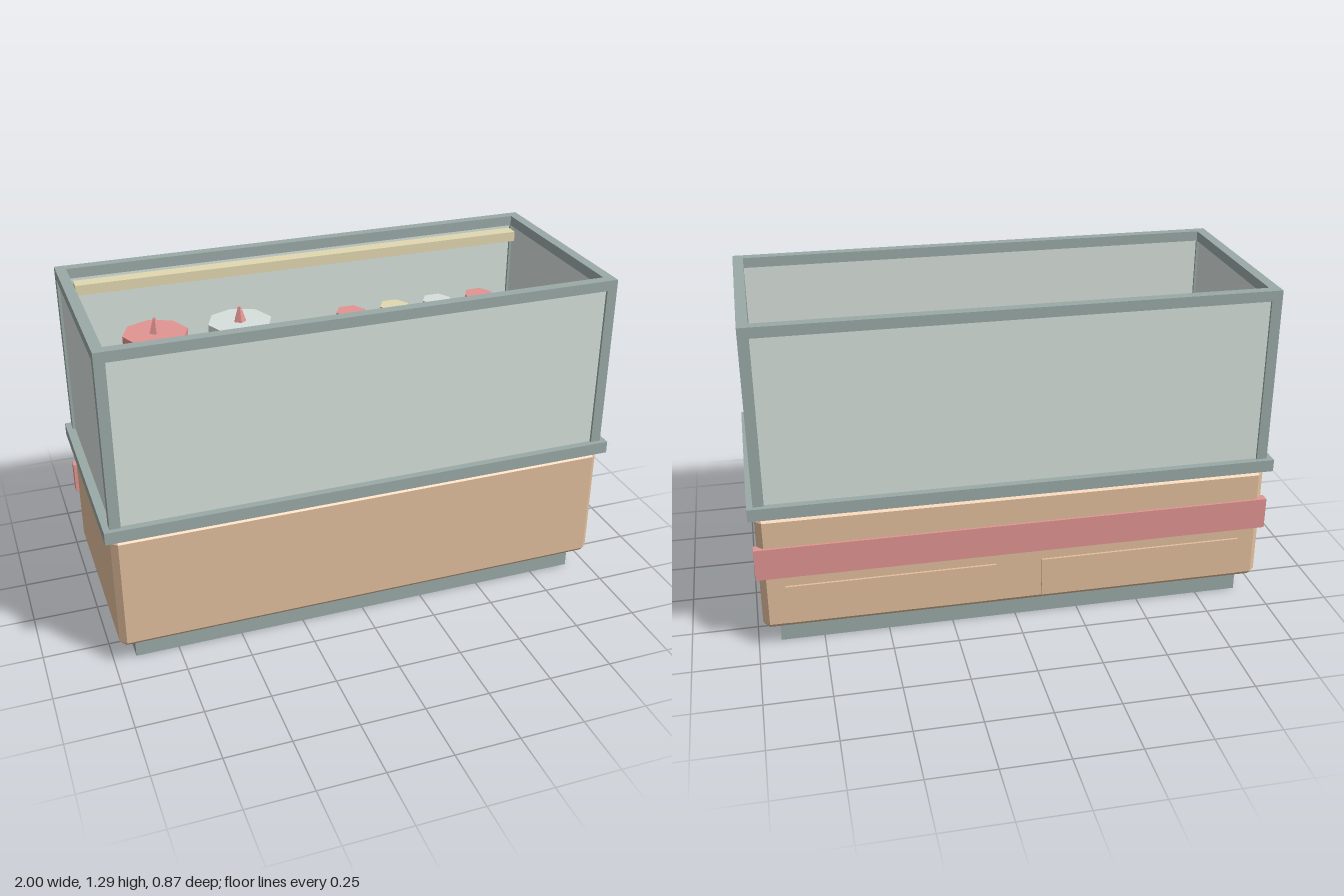
import * as THREE from 'three';
import { ConvexGeometry } from 'three/addons/geometries/ConvexGeometry.js';

const mat = (name, color) => {
  const m = new THREE.MeshStandardMaterial({ color, flatShading: true });
  m.name = name;
  return m;
};

export function createModel() {
  const metal = mat('grey metal', 0x9aaaa7);
  const glass = mat('pale glass', 0xd7e0dc);
  const wood = mat('light wood', 0xe1be9c);
  const red = mat('red', 0xe19491);
  const cream = mat('cream', 0xe1d7b0);
  const blue = mat('blue', 0x9bb3e1);

  const root = new THREE.Group();
  root.name = 'cakeDisplayCounter';

  const add = (name, geometry, material, parent = root) => {
    const mesh = new THREE.Mesh(geometry, material);
    mesh.name = name;
    parent.add(mesh);
    return mesh;
  };
  // Box given by its extents on each axis
  const box = (name, material, [x0, x1], [y0, y1], [z0, z1], parent = root) => {
    const mesh = add(name, new THREE.BoxGeometry(x1 - x0, y1 - y0, z1 - z0), material, parent);
    mesh.position.set((x0 + x1) / 2, (y0 + y1) / 2, (z0 + z1) / 2);
    return mesh;
  };
  // Box with every edge cut at 45 degrees
  const chamferBox = (hx, hy, hz, c) => {
    const points = [];
    for (const sx of [-1, 1]) for (const sy of [-1, 1]) for (const sz of [-1, 1]) {
      points.push(
        new THREE.Vector3(sx * hx, sy * (hy - c), sz * (hz - c)),
        new THREE.Vector3(sx * (hx - c), sy * hy, sz * (hz - c)),
        new THREE.Vector3(sx * (hx - c), sy * (hy - c), sz * hz));
    }
    return new ConvexGeometry(points);
  };

  // Plinth, cabinet and counter slab
  box('plinth', metal, [-0.915, 0.915], [0, 0.1], [-0.358, 0.358]);
  add('cabinet', chamferBox(0.977, 0.24, 0.418, 0.024), wood).position.y = 0.328;
  box('counterSlab', metal, [-1, 1], [0.567, 0.615], [-0.437, 0.437]);
  box('displayFloor', glass, [-0.94, 0.94], [0.61, 0.622], [-0.38, 0.38]);

  // Back of the cabinet: rail and two drawer fronts
  box('backRail', red, [-0.99, 0.99], [0.315, 0.44], [-0.427, -0.39]);
  for (const s of [-1, 1]) {
    const a = s * 0.09, b = s * 0.885;
    box('drawerFront', wood, [Math.min(a, b), Math.max(a, b)], [0.117, 0.274], [-0.427, -0.41]);
  }

  // Metal frame with an open top, and its panes
  const frame = new THREE.Group();
  frame.name = 'caseFrame';
  root.add(frame);
  const X = 0.977, Z = 0.418, T = 0.04, TOP = 1.295;
  const span = (s, outer, t) => (s > 0 ? [outer - t, outer] : [-outer, t - outer]);
  for (const s of [-1, 1]) {
    box('longTopRail', metal, [-X, X], [TOP - T, TOP], span(s, Z, T), frame);
    box('shortTopRail', metal, span(s, X, T), [TOP - T, TOP], [T - Z, Z - T], frame);
    for (const q of [-1, 1]) {
      box('cornerPost', metal, span(s, X, T), [0.615, TOP - T], span(q, Z, T), frame);
    }
    box('longPane', glass, [T - X, X - T], [0.615, TOP - T], span(s, Z - 0.01, 0.02));
    box('endPane', glass, span(s, X - 0.01, 0.02), [0.615, TOP - T], [T - Z, Z - T]);
  }

  // Upper shelf, tray and light bar
  const SHELF = 0.93;
  box('upperShelf', glass, [-0.945, 0.945], [SHELF - 0.025, SHELF], [-0.35, 0.012]);
  box('tray', glass, [0.04, 0.83], [SHELF, SHELF + 0.012], [-0.3, -0.055]);
  box('lightBar', cream, [-0.92, 0.915], [1.215, 1.255], [-0.352, -0.295]);

  // Eight-sided cakes: sponge, icing and a small pointed topping
  const cake = (x, y, z, r, h, icing) => {
    const g = new THREE.Group();
    g.name = 'cake';
    g.position.set(x, y, z);
    root.add(g);
    add('sponge', new THREE.CylinderGeometry(r * 0.96, r * 0.96, h * 0.6, 8), wood, g).position.y = h * 0.3;
    add('icing', new THREE.CylinderGeometry(r, r, h * 0.5, 8), icing, g).position.y = h * 0.75;
    add('topping', new THREE.CylinderGeometry(0.006, 0.025, 0.06, 5), red, g).position.y = h + 0.03;
  };
  cake(-0.65, SHELF, -0.19, 0.127, 0.14, red);
  cake(-0.315, SHELF, -0.19, 0.127, 0.14, glass);
  cake(-0.65, 0.622, 0.142, 0.181, 0.17, glass);
  cake(0, 0.622, 0.142, 0.192, 0.17, red);
  cake(0.645, 0.622, 0.142, 0.181, 0.17, blue);

  // Row of small six-sided cakes on the tray
  [red, cream, glass, red].forEach((m, i) => {
    const small = add('smallCake', new THREE.CylinderGeometry(0.061, 0.05, 0.11, 6), m);
    small.position.set(0.142 + i * 0.188, SHELF + 0.065, -0.182);
    small.rotation.y = Math.PI / 2;
  });

  return root;
}
